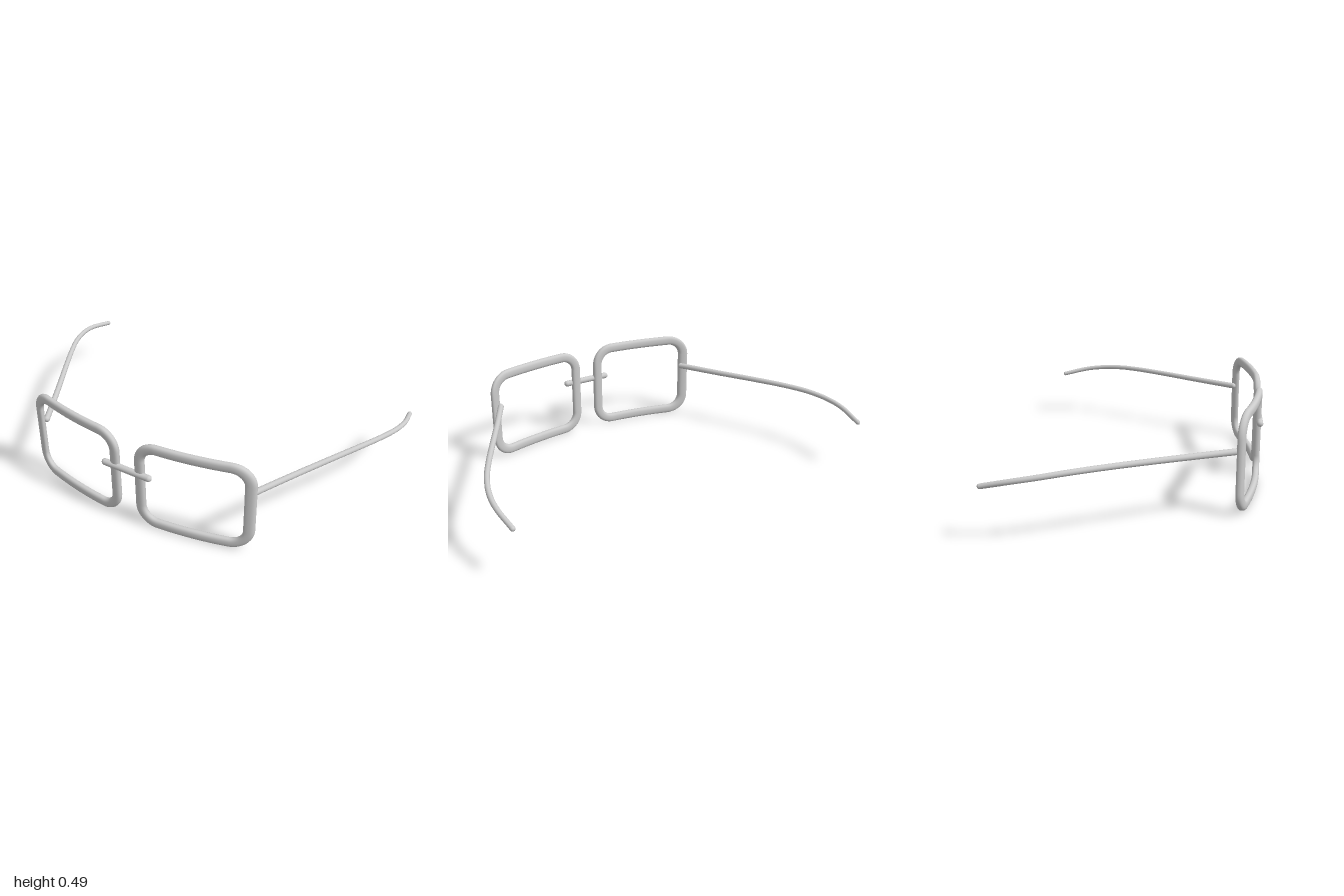
import * as THREE from 'three';

const material = new THREE.MeshStandardMaterial({ color: 0xcccccc });

function addMesh(parent, geometry, name) {
  const mesh = new THREE.Mesh(geometry, material);
  mesh.name = name;
  parent.add(mesh);
  return mesh;
}

// Both rims wrap gently backwards towards the temples
const wrapZ = (x) => 0.586 - 0.275 * x * x;

// Rounded-rectangle centre line with outward normals, counter-clockwise
function rimPath(cx, cy, hw, hh, r) {
  const points = [];
  const cornerSteps = 12, sideSteps = 10;
  const corners = [[1, 1], [-1, 1], [-1, -1], [1, -1]];
  corners.forEach(([sx, sy], i) => {
    for (let k = 0; k <= cornerSteps; k++) {
      const a = (i + k / cornerSteps) * Math.PI / 2;
      const nx = Math.cos(a), ny = Math.sin(a);
      points.push({ x: cx + sx * (hw - r) + r * nx, y: cy + sy * (hh - r) + r * ny, nx, ny });
    }
    // straight side up to the next corner
    const from = points[points.length - 1];
    const [tx, ty] = corners[(i + 1) % 4];
    const endX = cx + tx * (hw - r) + r * from.nx;
    const endY = cy + ty * (hh - r) + r * from.ny;
    for (let k = 1; k < sideSteps; k++) {
      const t = k / sideSteps;
      points.push({ ...from, x: from.x + (endX - from.x) * t, y: from.y + (endY - from.y) * t });
    }
  });
  return points;
}

// Closed sweep of a softly squared oval section along the rim path
function rimGeometry(cx) {
  const path = rimPath(cx, 0.245, 0.265, 0.22, 0.09);
  const sides = 20, halfWidth = 0.025, halfDepth = 0.0175;
  const soft = (v) => Math.sign(v) * Math.abs(v) ** 0.8;
  const positions = [], index = [];
  path.forEach((p, i) => {
    for (let j = 0; j < sides; j++) {
      const a = j / sides * Math.PI * 2;
      const out = halfWidth * soft(Math.cos(a));
      const x = p.x + p.nx * out;
      positions.push(x, p.y + p.ny * out, wrapZ(x) + halfDepth * soft(Math.sin(a)));
      const i2 = (i + 1) % path.length, j2 = (j + 1) % sides;
      const A = i * sides + j, B = i2 * sides + j, C = i2 * sides + j2, D = i * sides + j2;
      index.push(A, B, C, A, C, D);
    }
  });
  const geometry = new THREE.BufferGeometry();
  geometry.setAttribute('position', new THREE.Float32BufferAttribute(positions, 3));
  geometry.setIndex(index);
  geometry.computeVertexNormals();
  return geometry;
}

// Slim arm that tapers towards its curved tip, with rounded ends
function makeTemple(side) {
  const temple = new THREE.Group();
  temple.name = side > 0 ? 'leftTemple' : 'rightTemple';
  const points = [
    [0.578, 0.306, 0.472], [0.69, 0.312, 0.25], [0.80, 0.318, 0.04], [0.88, 0.32, -0.115],
    [0.938, 0.317, -0.24], [0.976, 0.306, -0.36], [0.987, 0.291, -0.46], [0.973, 0.26, -0.597],
  ].map(([x, y, z]) => new THREE.Vector3(side * x, y, z));
  const curve = new THREE.CatmullRomCurve3(points);
  const segments = 64, radial = 14;
  const radiusAt = (t) => 0.0155 - 0.0035 * t;
  const geometry = new THREE.TubeGeometry(curve, segments, 1, radial);
  const pos = geometry.attributes.position;
  const v = new THREE.Vector3();
  for (let i = 0; i < pos.count; i++) {
    const t = Math.floor(i / (radial + 1)) / segments;
    const centre = curve.getPointAt(t);
    v.fromBufferAttribute(pos, i).sub(centre).multiplyScalar(radiusAt(t)).add(centre);
    pos.setXYZ(i, v.x, v.y, v.z);
  }
  addMesh(temple, geometry, 'templeArm');
  [['templeHinge', 0], ['templeTip', 1]].forEach(([name, t]) => {
    addMesh(temple, new THREE.SphereGeometry(radiusAt(t), 14, 10), name)
      .position.copy(curve.getPointAt(t));
  });
  return temple;
}

export function createModel() {
  const glasses = new THREE.Group();
  glasses.name = 'glasses';

  for (const side of [1, -1]) {
    addMesh(glasses, rimGeometry(side * 0.335), side > 0 ? 'leftRim' : 'rightRim');
    glasses.add(makeTemple(side));
  }

  // Bridge: round-ended bar lying across the inner edges of the rims
  const bridge = addMesh(glasses, new THREE.CapsuleGeometry(0.0165, 0.245, 8, 16), 'bridge');
  bridge.rotation.z = Math.PI / 2;
  bridge.position.set(0, 0.297, 0.594);

  return glasses;
}
